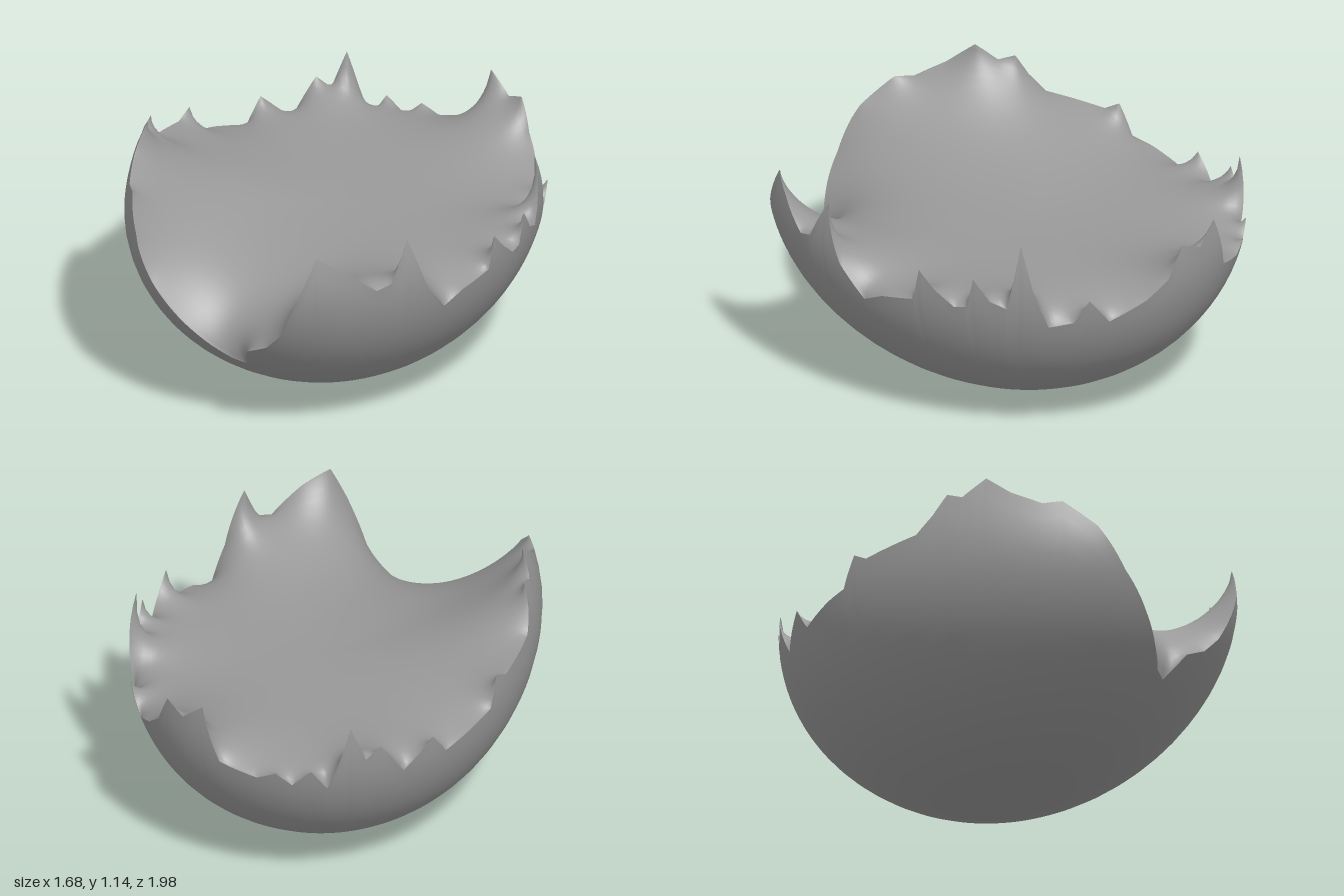
import * as THREE from 'three';

const N = 360;

// Broken rim: angle in degrees (0 = front, 90 = +x side), height
const RIM_LEFT = [
  [3, 0.34], [6, 0.45], [12, 0.5], [16, 0.58], [20, 0.75], [25, 0.97], [32, 0.9], [40, 0.79],
  [44, 0.81], [49, 0.99], [55, 0.74], [62, 0.6], [69, 0.65], [80, 0.68], [82, 0.83], [87, 0.75],
  [93, 0.68], [97, 0.69], [99, 0.83], [104, 0.73], [109, 0.7], [113, 1.0], [117, 0.76], [121, 0.61],
  [128, 0.63], [132, 0.74], [138, 0.62], [148, 0.7], [154, 0.78], [158, 0.92], [164, 0.88], [170, 0.97],
  [175, 0.72], [185, 0.68],
];
const RIM_RIGHT = [
  [190, 0.72], [194, 0.66], [199, 0.74], [203, 0.64], [206, 0.78], [209, 0.95], [213, 0.78],
  [217, 0.84], [224, 0.67], [233, 0.8], [238, 0.69], [250, 0.74], [257, 0.76], [261, 0.9], [266, 0.86],
  [284, 0.9], [289, 0.98], [293, 1.08], [298, 1.05], [305, 1.14], [312, 1.04], [320, 0.97], [325, 0.98],
  [333, 0.86], [340, 0.68], [348, 0.53], [354, 0.43], [359, 0.36], [363, 0.34],
];
const rim = [...RIM_LEFT, ...RIM_RIGHT];

function rimHeight(deg) {
  const d = deg < 3 ? deg + 360 : deg;
  const k = rim.findIndex((p, i) => i + 1 < rim.length && d >= p[0] && d <= rim[i + 1][0]);
  const [a, b] = [rim[k], rim[k + 1]];
  return THREE.MathUtils.lerp(a[1], b[1], (d - a[0]) / (b[0] - a[0]));
}

const forward = (deg) => Math.cos(THREE.MathUtils.degToRad(deg));

// Height of the widest girth, a little higher at the back
const eggHeight = (deg) => 0.8 + 0.06 * Math.max(0, -forward(deg)) ** 2;

// Width of the egg at angle phi up from its lowest point, drawn in under the front
const eggScale = (deg, phi) =>
  Math.sin(phi) * (1 - 0.08 * Math.max(0, Math.cos(phi)) * Math.max(0, forward(deg)) ** 2);

// Egg outline seen from above, longer at the front; scaled by s, at height y
function outlinePoint(deg, s, y) {
  const sx = Math.sin(THREE.MathUtils.degToRad(deg)), cz = forward(deg);
  const n = 2.05, depth = cz > 0 ? 1.1 : 1.0;
  const r = s * Math.pow(Math.pow(Math.abs(sx) / 0.84, n) + Math.pow(Math.abs(cz) / depth, n), -1 / n);
  return new THREE.Vector3(r * sx, y, r * cz);
}

const heights = Array.from({ length: N }, (_, i) => rimHeight(i));
const rimPhi = heights.map((h, i) => Math.acos(1 - h / eggHeight(i)));
const rimScale = rimPhi.map((phi, i) => eggScale(i, phi));
const lowPhi = Math.min(...rimPhi);

// Shell: even rings up to the lowest break, then rings that fan out to the rim
function shellPoint(t, i) {
  const split = 0.6;
  const phi = t < split ? lowPhi * t / split
    : THREE.MathUtils.lerp(lowPhi, rimPhi[i], (t - split) / (1 - split));
  return outlinePoint(i, eggScale(i, phi), eggHeight(i) * (1 - Math.cos(phi)));
}

// Membrane: a weighted mean of the rim at every point, sagging towards the middle
function membranePoint(t, i) {
  if (t === 1) return shellPoint(1, i);
  const r = Math.sin(t * Math.PI / 2);
  let y = 0, s = 0, total = 0;
  heights.forEach((h, j) => {
    const w = 1 / (1 - 2 * r * Math.cos((i - j) * Math.PI * 2 / N) + r * r);
    y += w * h;
    s += w * rimScale[j];
    total += w;
  });
  return outlinePoint(i, r * s / total, y / total - 0.06 * (1 - r * r));
}

// Rings around the vertical axis, starting from one centre point
function ringSurface(rings, point, facesDown) {
  const c = point(0, 0);
  const pos = [c.x, c.y, c.z], index = [];
  const id = (k, i) => (k === 0 ? 0 : 1 + (k - 1) * N + (i % N));
  const tri = (a, b, d) => (facesDown ? index.push(a, d, b) : index.push(a, b, d));
  for (let k = 1; k <= rings; k++) {
    for (let i = 0; i < N; i++) {
      const p = point(k / rings, i);
      pos.push(p.x, p.y, p.z);
      tri(id(k - 1, i), id(k, i), id(k, i + 1));
      if (k > 1) tri(id(k - 1, i), id(k, i + 1), id(k - 1, i + 1));
    }
  }
  const g = new THREE.BufferGeometry();
  g.setAttribute('position', new THREE.Float32BufferAttribute(pos, 3));
  g.setIndex(index);
  g.computeVertexNormals();
  return g;
}

export function createModel() {
  const group = new THREE.Group();
  group.name = 'brokenEggshell';
  const material = new THREE.MeshStandardMaterial({ color: 0x999999, side: THREE.DoubleSide });

  // Outer shell up to the jagged rim
  const shell = new THREE.Mesh(ringSurface(20, shellPoint, true), material);
  shell.name = 'outerShell';

  // Inner surface
  const inner = new THREE.Mesh(ringSurface(18, membranePoint, false), material);
  inner.name = 'innerSurface';

  group.add(shell, inner);
  return group;
}
